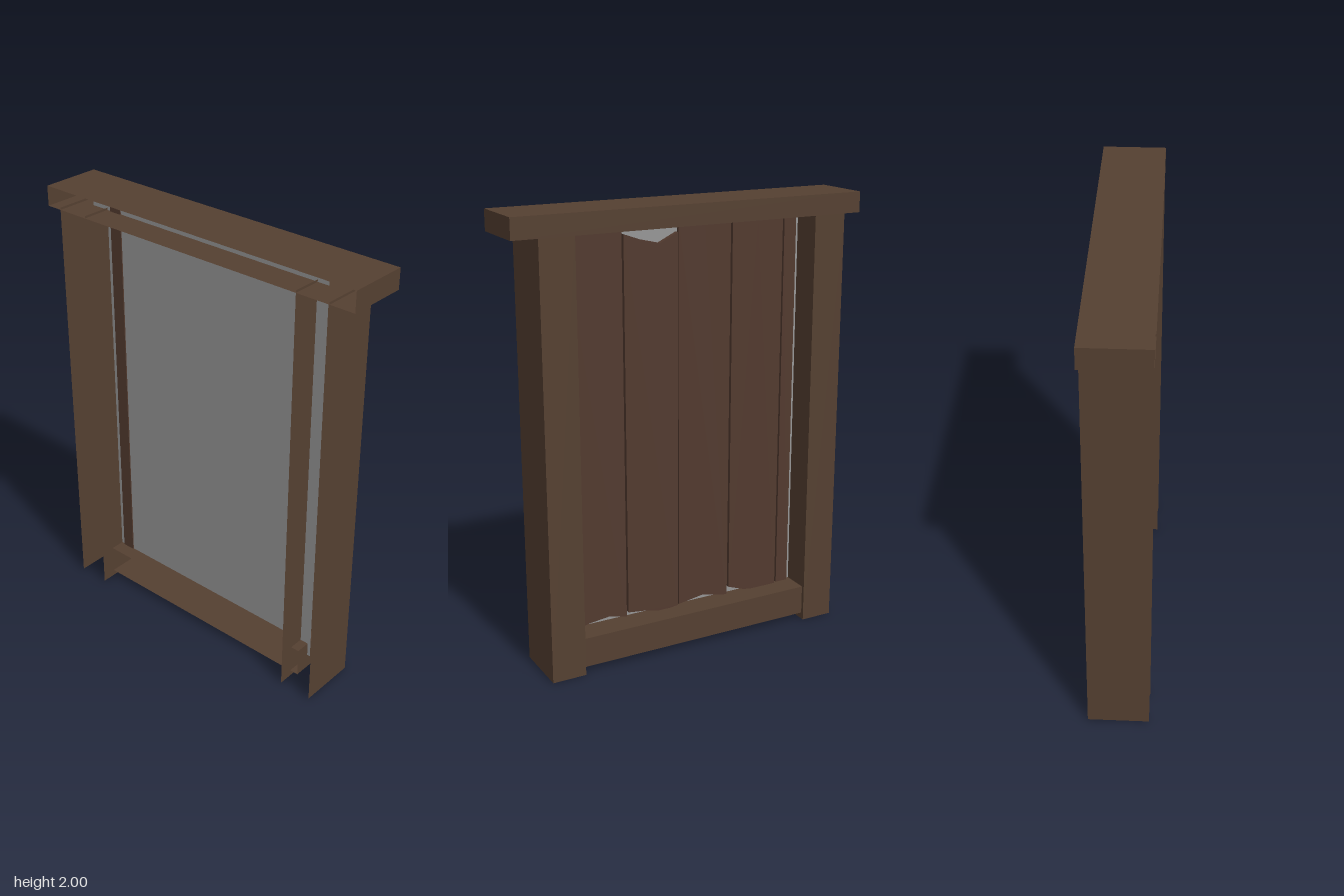
import * as THREE from 'three';

const timber = new THREE.MeshStandardMaterial({ color: 0x554031, side: THREE.DoubleSide });
timber.name = 'frameBrown';
const plankWood = new THREE.MeshStandardMaterial({ color: 0x523a2f, side: THREE.DoubleSide });
plankWood.name = 'plankBrown';
const grey = new THREE.MeshStandardMaterial({ color: 0x969696, side: THREE.DoubleSide });
grey.name = 'panelGrey';

// Box shell between two corners that keeps only the listed sides
const SIDES = ['+x', '-x', '+y', '-y', '+z', '-z'];
function shell(name, [x0, x1], [y0, y1], [z0, z1], keep) {
  const geo = new THREE.BoxGeometry(x1 - x0, y1 - y0, z1 - z0);
  const index = Array.from(geo.index.array);
  geo.setIndex(keep.flatMap((s) => {
    const i = SIDES.indexOf(s) * 6;
    return index.slice(i, i + 6);
  }));
  geo.clearGroups();
  geo.translate((x0 + x1) / 2, (y0 + y1) / 2, (z0 + z1) / 2);
  const mesh = new THREE.Mesh(geo, timber);
  mesh.name = name;
  return mesh;
}

// Thin board with worn ends; top and bottom list heights from left to right
function plank(name, x0, x1, bottom, top, zBack, depth) {
  const at = (list, i) => [x0 + ((x1 - x0) * i) / (list.length - 1), list[i]];
  const pts = [...bottom.map((_, i) => at(bottom, i)), ...top.map((_, i) => at(top, i)).reverse()];
  const shape = new THREE.Shape(pts.map(([x, y]) => new THREE.Vector2(x, y)));
  const geo = new THREE.ExtrudeGeometry(shape, { depth, bevelEnabled: false });
  geo.translate(0, 0, zBack);
  const mesh = new THREE.Mesh(geo, plankWood);
  mesh.name = name;
  return mesh;
}

export function createModel() {
  const model = new THREE.Group();
  model.name = 'plankWall';

  // Frame shells, all open at the front
  model.add(shell('topBeam', [-0.81, 0.81], [1.91, 2], [-0.14, 0.135], ['+x', '-x', '+y', '-y', '-z']));
  model.add(shell('rightPost', [-0.735, -0.585], [0, 1.92], [-0.135, 0.135], ['+x', '-x', '-z']));
  model.add(shell('leftPost', [0.54, 0.695], [0, 1.92], [-0.135, 0.135], ['+x', '-x', '-z']));
  model.add(shell('bottomRail', [-0.63, 0.58], [0.03, 0.165], [-0.12, 0.07], ['+x', '-x', '+y', '-y', '-z']));

  // Grey sheet that closes the opening
  const panel = new THREE.Mesh(new THREE.PlaneGeometry(1.265, 1.865), grey);
  panel.name = 'greyPanel';
  panel.position.set(-0.0375, 1.0325, 0.002);
  model.add(panel);

  // Planks on the back of the sheet
  const planks = [
    [0.285, 0.55, [0.17, 0.19, 0.18, 0.16], [1.9, 1.93, 1.95], -0.02],
    [0.027, 0.278, [0.17, 0.16, 0.18, 0.19], [1.87, 1.83, 1.85, 1.88], -0.024],
    [-0.233, 0.02, [0.16, 0.19, 0.17], [1.9, 1.91, 1.92], -0.018],
    [-0.492, -0.24, [0.15, 0.16, 0.17, 0.2], [1.93, 1.91, 1.95], -0.022],
  ];
  planks.forEach(([x0, x1, bottom, top, z], i) =>
    model.add(plank(`plank${i + 1}`, x0, x1, bottom, top, z, -0.002 - z)));

  // Narrow edge plank that shows on both sides of the sheet
  model.add(plank('edgePlank', -0.565, -0.505, [0.13, 0.13], [1.98, 1.98], -0.015, 0.022));

  return model;
}
